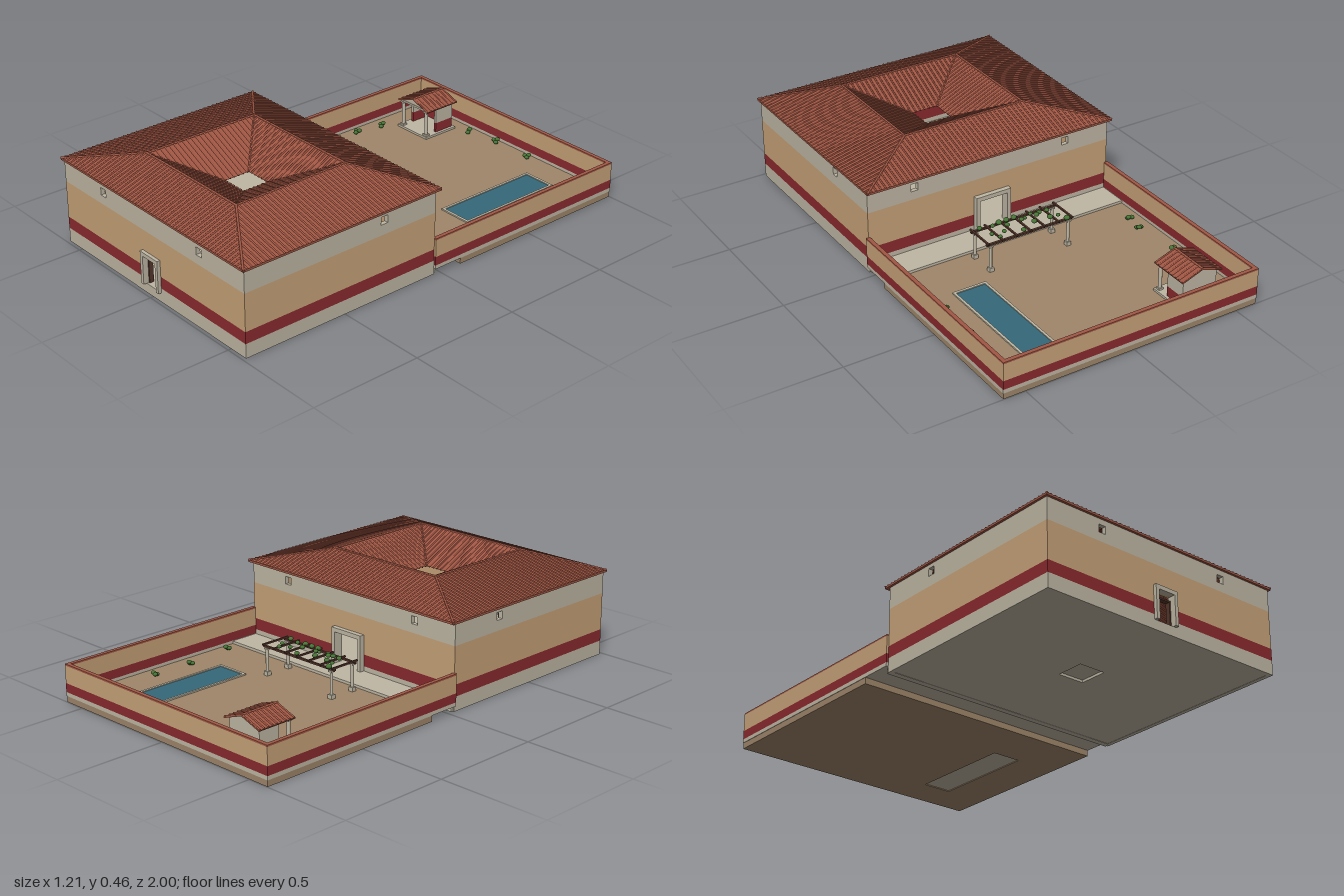
import * as THREE from 'three';
import { mergeGeometries } from 'three/addons/utils/BufferGeometryUtils.js';

const mat = (name, color, side = THREE.FrontSide) => {
  const m = new THREE.MeshStandardMaterial({ color, side });
  m.name = name;
  return m;
};

export function createModel() {
  const stone = mat('stone', 0xbfb7a4), ochre = mat('ochre plaster', 0xc6a278), red = mat('red plaster', 0x8a2a2e);
  const tile = mat('terracotta', 0xa25744, THREE.DoubleSide), soil = mat('soil', 0x9f866a);
  const water = mat('water', 0x35697a), wood = mat('wood', 0x55362a), leaf = mat('leaves', 0x467535);
  const model = new THREE.Group();
  model.name = 'courtyardHouse';

  const add = (name, geos, material, parent = model) => {
    const list = [].concat(geos).map(g => (g.index ? g.toNonIndexed() : g));
    const m = new THREE.Mesh(list.length > 1 ? mergeGeometries(list) : list[0], material);
    m.name = name;
    parent.add(m);
    return m;
  };
  const group = name => {
    const g = new THREE.Group();
    g.name = name;
    model.add(g);
    return g;
  };
  // Box given by its limits on each axis
  const box = (x0, x1, y0, y1, z0, z1) =>
    new THREE.BoxGeometry(x1 - x0, y1 - y0, z1 - z0).translate((x0 + x1) / 2, (y0 + y1) / 2, (z0 + z1) / 2);
  const rod = (a, b, r, sides = 6) => {
    const d = b.clone().sub(a), g = new THREE.CylinderGeometry(r, r, d.length(), sides);
    g.applyQuaternion(new THREE.Quaternion().setFromUnitVectors(new THREE.Vector3(0, 1, 0), d.normalize()));
    return g.translate(...a.clone().add(b).multiplyScalar(0.5).toArray());
  };
  const V = (x, y, z) => new THREE.Vector3(x, y, z);

  // Striped wall: bands are [y0, y1, material], openings are [u0, u1, y0, y1]
  const wall = (name, alongX, u0, u1, w0, w1, bands, openings = []) => {
    const g = group(name), byMat = new Map();
    for (const [b0, b1, m] of bands) {
      const ys = [b0, b1, ...openings.flatMap(o => [o[2], o[3]]).filter(y => y > b0 && y < b1)];
      const levels = [...new Set(ys)].sort((p, q) => p - q);
      for (let i = 0; i + 1 < levels.length; i++) {
        const [lo, hi] = [levels[i], levels[i + 1]], mid = (lo + hi) / 2;
        const holes = openings.filter(o => mid > o[2] && mid < o[3]).sort((p, q) => p[0] - q[0]);
        const stops = [u0, ...holes.flatMap(o => [o[0], o[1]]), u1];
        for (let k = 0; k < stops.length; k += 2) {
          const s = alongX ? box(stops[k], stops[k + 1], lo, hi, w0, w1) : box(w0, w1, lo, hi, stops[k], stops[k + 1]);
          byMat.set(m, [...(byMat.get(m) || []), s]);
        }
      }
    }
    for (const [m, geos] of byMat) add(name + ' ' + m.name, geos, m, g);
  };

  // Slab with one rectangular hole; limits are [x0, x1, z0, z1]
  const slab = (r, h, y0, y1) => [
    box(r[0], r[1], y0, y1, r[2], h[2]), box(r[0], r[1], y0, y1, h[3], r[3]),
    box(r[0], h[0], y0, y1, h[2], h[3]), box(h[1], r[1], y0, y1, h[2], h[3])];

  // House walls, doors and windows
  const houseBands = [[0, 0.063, stone], [0.063, 0.115, red], [0.115, 0.28, ochre], [0.28, 0.38, stone]];
  const win = c => [c - 0.017, c + 0.017, 0.318, 0.352];
  wall('frontWall', true, -0.59, 0.59, 0.965, 0.985, houseBands, [[-0.042, 0.042, 0.042, 0.17], win(-0.315), win(0.315)]);
  wall('backWall', true, -0.59, 0.59, 0.03, 0.05, houseBands, [[-0.07, 0.07, 0.042, 0.185], win(-0.37), win(0.37)]);
  const sideWin = [0.283, 0.317, 0.326, 0.36];
  wall('rightWall', false, 0.05, 0.965, -0.59, -0.57, houseBands, [sideWin]);
  wall('leftWall', false, 0.05, 0.965, 0.57, 0.59, houseBands, [sideWin]);

  const doorFrame = (name, hw, inner, top, innerTop, z0, z1) => add(name, [
    box(-hw, -inner, 0.042, top, z0, z1), box(inner, hw, 0.042, top, z0, z1), box(-inner, inner, innerTop, top, z0, z1)], stone);
  doorFrame('frontDoorFrame', 0.057, 0.041, 0.188, 0.17, 0.962, 1);
  doorFrame('backDoorFrame', 0.085, 0.068, 0.202, 0.183, 0.008, 0.053);
  add('doorLining', [box(-0.041, -0.035, 0.042, 0.152, 0.955, 0.975), box(0.035, 0.041, 0.042, 0.152, 0.955, 0.975),
    box(-0.041, 0.041, 0.146, 0.153, 0.955, 0.975)], wood);

  // House floor with the rain basin
  const basin = [-0.062, 0.062, 0.45, 0.575];
  add('houseFloor', slab([-0.585, 0.585, 0.02, 0.98], basin, 0.001, 0.042), stone);
  add('basinBottom', box(-0.07, 0.07, 0.012, 0.022, 0.44, 0.585), stone);
  add('basinRim', slab([-0.075, 0.075, 0.437, 0.588], basin, 0.042, 0.05), stone);
  add('basinWater', box(-0.062, 0.062, 0.022, 0.03, 0.45, 0.575), water);

  // Four-sided roof: outer slopes rise to the ridge, inner slopes fall to the opening
  const ring = (hx, z0, z1, y) => [V(-hx, y, z0), V(hx, y, z0), V(hx, y, z1), V(-hx, y, z1)];
  const eave = ring(0.6, 0.008, 0.995, 0.384), ridge = ring(0.29, 0.242, 0.785, 0.456), mouth = ring(0.06, 0.453, 0.572, 0.35);
  const roof = group('roof'), faces = [], ribs = [];
  const slope = (A, B, C, D) => {
    const up = B.clone().sub(A).cross(C.clone().sub(A)).y > 0;
    const corners = up ? [A, B, D, A, D, C] : [A, D, B, A, C, D];
    const g = new THREE.BufferGeometry().setFromPoints(corners);
    g.computeVertexNormals();
    faces.push(g);
    const u = B.clone().sub(A), L = u.length();
    u.normalize();
    const c = C.clone().sub(A).dot(u), d = D.clone().sub(A).dot(u);
    const v = C.clone().sub(A).addScaledVector(u, -c), n = Math.round(L / 0.022);
    for (let i = 1; i < n; i++) {
      const p = (i / n) * L, t = Math.min(1, p / c, (L - p) / (L - d));
      const P = A.clone().addScaledVector(u, p);
      ribs.push(rod(P, P.clone().addScaledVector(v, t), 0.004, 6));
    }
  };
  for (let i = 0; i < 4; i++) {
    const j = (i + 1) % 4;
    slope(eave[i], eave[j], ridge[i], ridge[j]);
    slope(ridge[i], ridge[j], mouth[i], mouth[j]);
    ribs.push(rod(ridge[i], ridge[j], 0.005), rod(eave[i], ridge[i], 0.005), rod(ridge[i], mouth[i], 0.004));
  }
  add('roofSlopes', faces, tile, roof);
  add('roofTileRibs', ribs, tile, roof);
  add('eaves', slab([-0.6, 0.6, 0.008, 0.995], [-0.575, 0.575, 0.04, 0.97], 0.376, 0.385), tile, roof);

  // Garden ground, porch and enclosing walls
  const poolHole = [0.265, 0.4, -0.83, -0.34];
  add('gardenGround', slab([-0.598, 0.598, -0.998, -0.108], poolHole, 0, 0.03), soil);
  add('porchFloor', box(-0.585, 0.585, 0.027, 0.042, -0.108, 0.035), stone);
  const gardenBands = [[0.027, 0.044, stone], [0.044, 0.083, red], [0.083, 0.159, ochre], [0.159, 0.166, tile]];
  wall('gardenBackWall', true, -0.6, 0.6, -1, -0.982, gardenBands);
  wall('gardenRightWall', false, -0.982, 0.032, -0.6, -0.582, gardenBands);
  wall('gardenLeftWall', false, -0.982, 0.032, 0.582, 0.6, gardenBands);

  // Swimming pool
  add('poolBottom', box(0.265, 0.4, 0.004, 0.014, -0.83, -0.34), stone);
  add('poolRim', slab([0.254, 0.411, -0.842, -0.328], poolHole, 0.028, 0.036), stone);
  add('poolWater', box(0.265, 0.4, 0.014, 0.032, -0.83, -0.34), water);

  // Pergola with climbing leaves
  const pergola = group('pergola'), posts = [], beams = [];
  for (const z of [-0.265, -0.145]) {
    beams.push(box(-0.21, 0.21, 0.152, 0.16, z - 0.005, z + 0.005));
    for (const x of [-0.19, 0.19]) {
      posts.push(rod(V(x, 0.03, z), V(x, 0.152, z), 0.007, 10));
      posts.push(box(x - 0.011, x + 0.011, 0.03, 0.048, z - 0.011, z + 0.011), box(x - 0.01, x + 0.01, 0.145, 0.152, z - 0.01, z + 0.01));
    }
  }
  for (let i = 0; i < 7; i++) {
    const x = -0.204 + i * 0.068;
    beams.push(box(x - 0.004, x + 0.004, 0.16, 0.167, -0.278, -0.132));
  }
  add('pergolaPosts', posts, stone, pergola);
  add('pergolaBeams', beams, wood, pergola);

  let seed = 7;
  const rand = () => (seed = (seed * 16807) % 2147483647) / 2147483647;
  const blob = (x, y, z, r) => new THREE.IcosahedronGeometry(r, 1).scale(1, 0.8, 1).translate(x, y, z);
  const vines = [];
  for (let i = 0; i < 20; i++)
    vines.push(blob(-0.18 + (i / 19) * 0.35, 0.167, -0.27 + rand() * 0.13, 0.008 + rand() * 0.006).scale(1, 1, 1));
  add('pergolaLeaves', vines, leaf, pergola);

  // Shrubs along the walls
  const spots = [[-0.2, -0.93], [-0.05, -0.95], [0.15, -0.95], [0.46, -0.91], [0.505, -0.61], [0.5, -0.42],
    [0.53, -0.185], [-0.51, -0.67], [-0.53, -0.54], [-0.51, -0.33], [-0.525, -0.245]];
  add('shrubs', spots.flatMap(([x, z]) => [0, 1, 2].map(k => {
    const a = k * 2.1 + rand() * 2;
    return blob(x + Math.cos(a) * 0.009, 0.04 + k * 0.005, z + Math.sin(a) * 0.009, 0.011);
  })), leaf);

  // Garden shrine with gabled roof
  const shrine = group('shrine'), sx = -0.378;
  add('shrineBase', box(sx - 0.095, sx + 0.095, 0.028, 0.04, -0.92, -0.738), stone, shrine);
  const sides = (y0, y1) => [box(sx - 0.082, sx + 0.082, y0, y1, -0.91, -0.898),
    ...[-1, 1].map(s => box(sx + s * 0.076 - 0.006, sx + s * 0.076 + 0.006, y0, y1, -0.898, -0.81))];
  add('shrineLowerWalls', sides(0.04, 0.085), red, shrine);
  add('shrineUpperWalls', sides(0.085, 0.165), stone, shrine);
  add('shrineColumns', [-1, 1].flatMap(s => {
    const x = sx + s * 0.076;
    return [rod(V(x, 0.04, -0.755), V(x, 0.16, -0.755), 0.008, 12), box(x - 0.011, x + 0.011, 0.04, 0.048, -0.766, -0.744),
      box(x - 0.011, x + 0.011, 0.152, 0.16, -0.766, -0.744)];
  }), stone, shrine);
  add('shrineBeams', [...[-1, 1].map(s => box(sx + s * 0.076 - 0.006, sx + s * 0.076 + 0.006, 0.158, 0.167, -0.898, -0.745)),
    box(sx - 0.082, sx + 0.082, 0.158, 0.167, -0.763, -0.747)], stone, shrine);
  const gable = new THREE.Shape([[-0.082, 0.165], [0.082, 0.165], [0, 0.193]].map(p => new THREE.Vector2(...p)));
  add('shrineGables', [-0.91, -0.763].map(z =>
    new THREE.ExtrudeGeometry(gable, { depth: 0.014, bevelEnabled: false }).translate(sx, 0, z)), stone, shrine);
  const sheets = [], sheetRibs = [];
  for (const s of [-1, 1]) {
    sheets.push(new THREE.BoxGeometry(0.104, 0.006, 0.185).rotateZ(-s * 0.34).translate(sx + s * 0.049, 0.18, -0.8325));
    for (let i = 0; i <= 8; i++) {
      const z = -0.92 + i * 0.0219;
      sheetRibs.push(rod(V(sx, 0.2, z), V(sx + s * 0.097, 0.166, z), 0.004));
    }
  }
  sheetRibs.push(rod(V(sx, 0.199, -0.925), V(sx, 0.199, -0.74), 0.006));
  add('shrineRoof', sheets, tile, shrine);
  add('shrineRoofRibs', sheetRibs, tile, shrine);

  return model;
}
